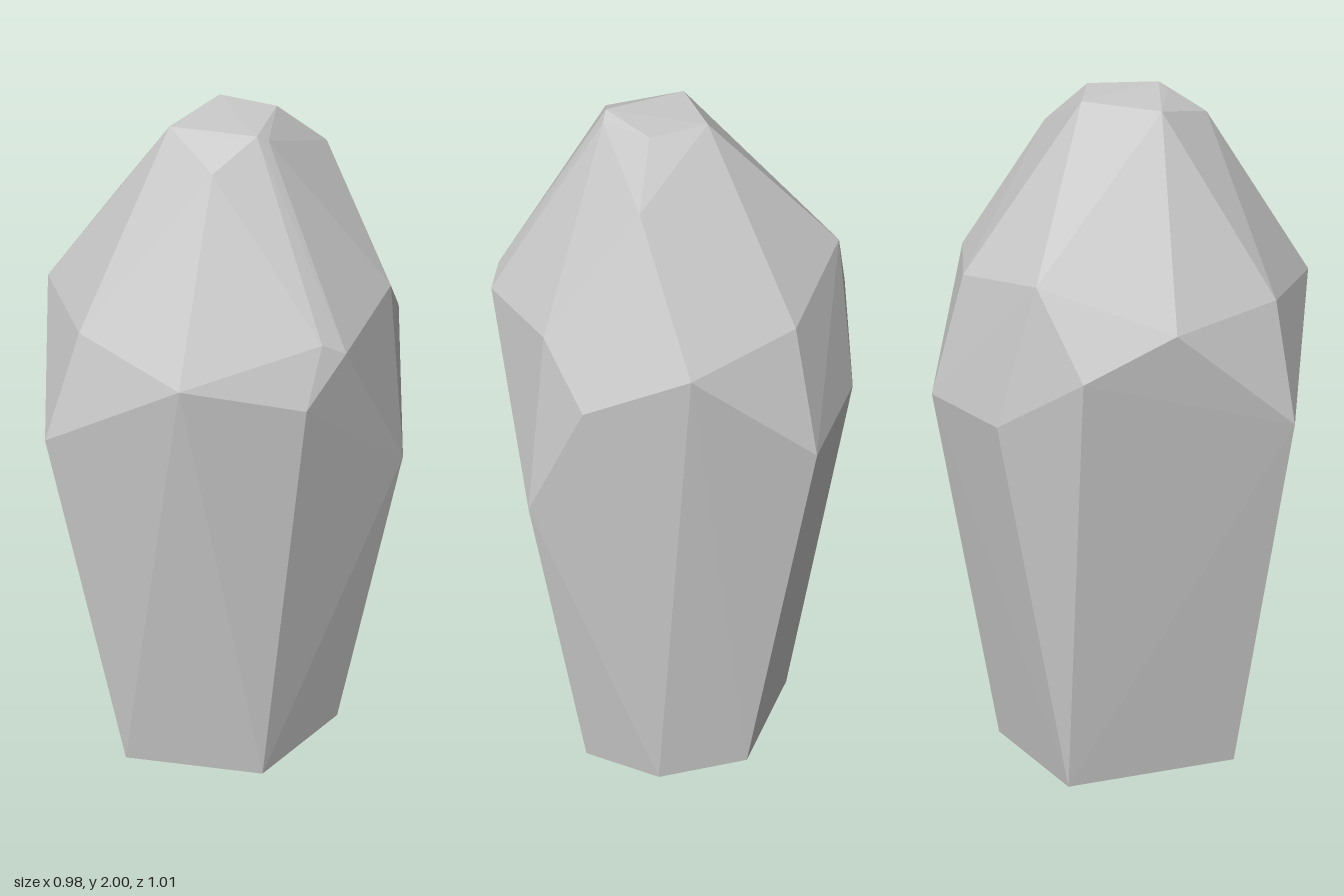
import * as THREE from 'three';
import { ConvexGeometry } from 'three/addons/geometries/ConvexGeometry.js';

// Irregular faceted crystal: the hull of a few cut corners, tier by tier.
const base = [
  [-0.06, 0.01, 0.345], [0.305, 0, 0.15], [0.34, 0, -0.2],
  [0.16, 0.01, -0.365], [-0.11, 0.015, -0.375], [-0.33, 0.02, -0.09],
];
const girdle = [
  [-0.17, 1.2, 0.505], [0.24, 1.48, 0.455], [0.46, 1.38, 0.21], [0.49, 1.5, 0.08],
  [0.485, 1.0, -0.25], [0.36, 1.38, -0.39], [0.11, 1.51, -0.51],
  [-0.24, 1.2, -0.49], [-0.43, 1.22, -0.24], [-0.49, 1.4, 0.015],
];
const shoulder = [
  [-0.1, 1.52, 0.43], [0.455, 1.54, 0.14], [0.42, 1.53, -0.24],
  [-0.2, 1.545, -0.4], [-0.41, 1.62, -0.13], [-0.375, 1.51, 0.23],
];
const tip = [
  [-0.05, 1.99, 0.105], [0.14, 1.94, 0.18], [0.155, 1.99, 0.07], [0.175, 2, 0.04],
  [0.19, 1.98, 0.01], [0.11, 2, -0.14], [0.175, 1.87, -0.28], [-0.05, 2, -0.11],
];

export function createModel() {
  const group = new THREE.Group();
  group.name = 'crystal';

  const corners = [...base, ...girdle, ...shoulder, ...tip]
    .map((p) => new THREE.Vector3(...p));
  const material = new THREE.MeshStandardMaterial({ color: 0xcccccc, flatShading: true });
  const shard = new THREE.Mesh(new ConvexGeometry(corners), material);
  shard.name = 'crystalShard';
  group.add(shard);

  return group;
}
